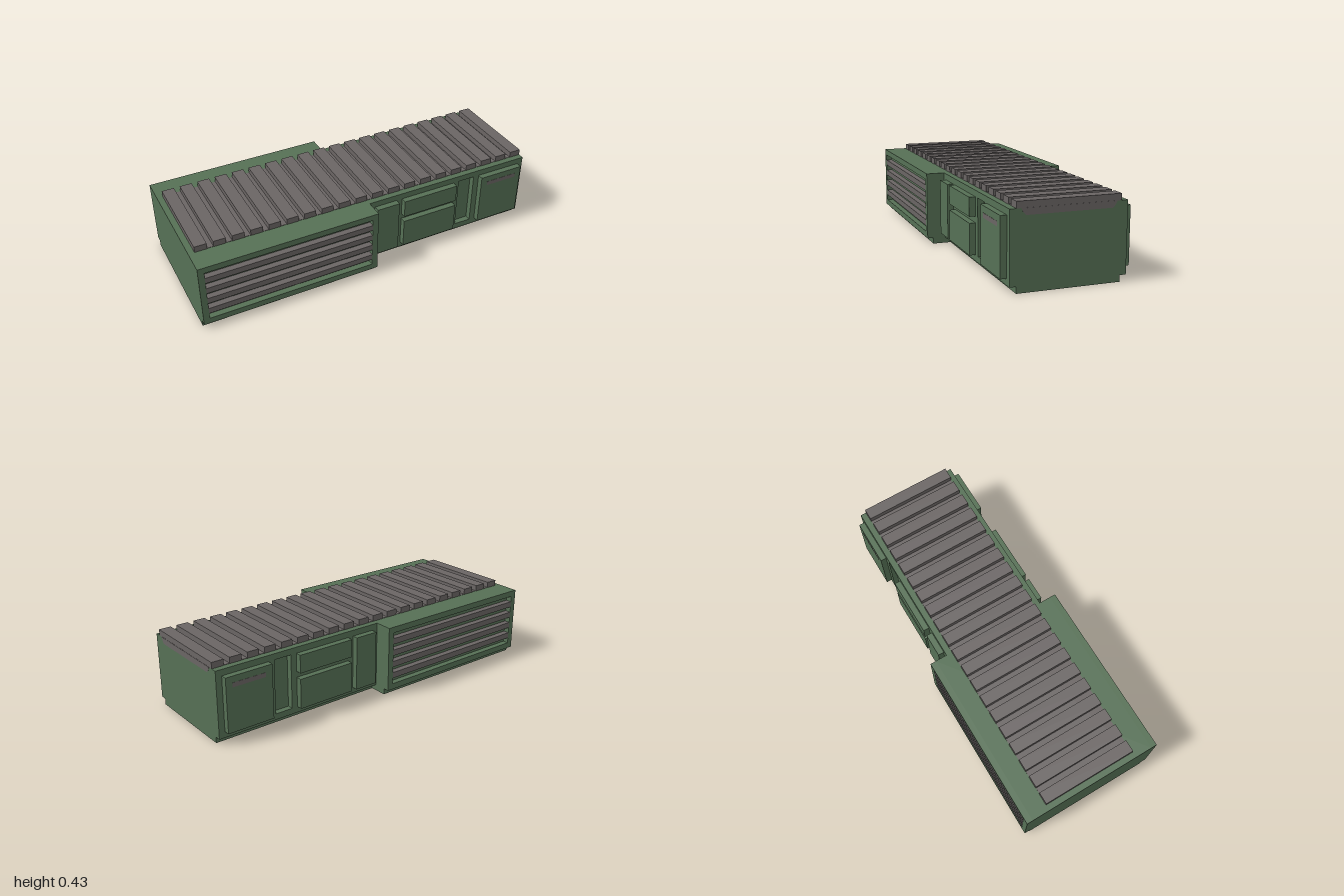
import * as THREE from 'three';

const U = 1 / 30; // modelling unit

export function createModel() {
  const model = new THREE.Group();
  model.name = 'machineHousing';
  const green = new THREE.MeshStandardMaterial({ name: 'green paint', color: 0x567055 });
  const grey = new THREE.MeshStandardMaterial({ name: 'grey metal', color: 0x6a6564 });

  const add = (name, geometry, material) => {
    const mesh = new THREE.Mesh(geometry, material);
    mesh.name = name;
    model.add(mesh);
    return mesh;
  };
  // Box given by its limits on each axis
  const box = (name, x0, x1, y0, y1, z0, z1, material) =>
    add(name, new THREE.BoxGeometry(x1 - x0, y1 - y0, z1 - z0), material)
      .position.set((x0 + x1) / 2, (y0 + y1) / 2, (z0 + z1) / 2);
  // Box lying on both long sides, between two distances from the middle
  const sideBoxes = (name, x0, x1, y0, y1, near, far, material) => {
    box(name + 'Front', x0, x1, y0, y1, near, far, material);
    box(name + 'Back', x0, x1, y0, y1, -far, -near, material);
  };
  const rectangle = (Type, x0, x1, y0, y1) => new Type([
    new THREE.Vector2(x0, y0), new THREE.Vector2(x1, y0),
    new THREE.Vector2(x1, y1), new THREE.Vector2(x0, y1),
  ]);

  // Two housing sections: core, plinth and side skins with one opening each
  const section = (name, x0, x1, halfDepth, hole) => {
    const inner = halfDepth - U;
    box(name + 'Core', x0, x1, U, 0.4, -inner, inner, green);
    box(name + 'Plinth', x0, x1, 0, U, -inner, inner, green);
    const shape = rectangle(THREE.Shape, x0, x1, U, 0.4);
    shape.holes.push(rectangle(THREE.Path, ...hole));
    const skin = new THREE.ExtrudeGeometry(shape, { depth: U, bevelEnabled: false });
    add(name + 'SkinFront', skin, green).position.z = inner;
    add(name + 'SkinBack', skin, green).position.z = -halfDepth;
  };
  section('wideSection', -1, 0, 0.4, [-1 + U, -U, 2 * U, 11 * U]);
  section('narrowSection', 0, 1, 0.3, [17 * U, 20 * U, 2 * U, 11 * U]);

  // Grey louvre bars with grooves between them
  for (let i = 0; i < 4; i++) {
    const y = (3 + 2 * i) * U;
    sideBoxes('louvreBar', -1 + U, -U, y, y + U, 0.4 - U, 0.4, grey);
  }

  // Raised service doors and panels: x0, x1, y0, y1 in units
  const panels = [
    ['tallPanel', 1, 5, 2, 11],
    ['lowerPanel', 6, 16, 2, 7],
    ['upperPanel', 6, 16, 8, 11],
    ['endDoor', 21, 29, 2, 11],
  ];
  for (const [name, x0, x1, y0, y1] of panels) {
    sideBoxes(name, x0 * U, x1 * U, y0 * U, y1 * U, 0.3, 0.3 + U, green);
  }
  // Thin grey strips on the end doors
  sideBoxes('doorStrip', 0.74, 0.93, 0.308, 0.332, 0.3 + U, 0.3 + U + 0.001, grey);

  // Roof grille: bed plate and twenty cross slats
  box('grilleBed', -0.967, 1, 0.4, 0.402, -0.265, 0.265, grey);
  for (let i = 0; i < 20; i++) {
    const x = -0.967 + i * 0.1;
    box('roofSlat', x, x + 2 * U, 0.4, 0.4 + U, -8 * U, 8 * U, grey);
  }

  // Tapered grey plate on the left end, below the last slat
  const plate = new THREE.Shape([[-0.22, 0.367], [0.22, 0.367], [0.235, 0.382], [0.243, 0.4],
    [-0.243, 0.4], [-0.235, 0.382]].map(([x, y]) => new THREE.Vector2(x, y)));
  const endPlate = add('grilleEndPlate',
    new THREE.ExtrudeGeometry(plate, { depth: 0.002, bevelEnabled: false }), grey);
  endPlate.rotation.y = Math.PI / 2;
  endPlate.position.x = 0.999;

  return model;
}
